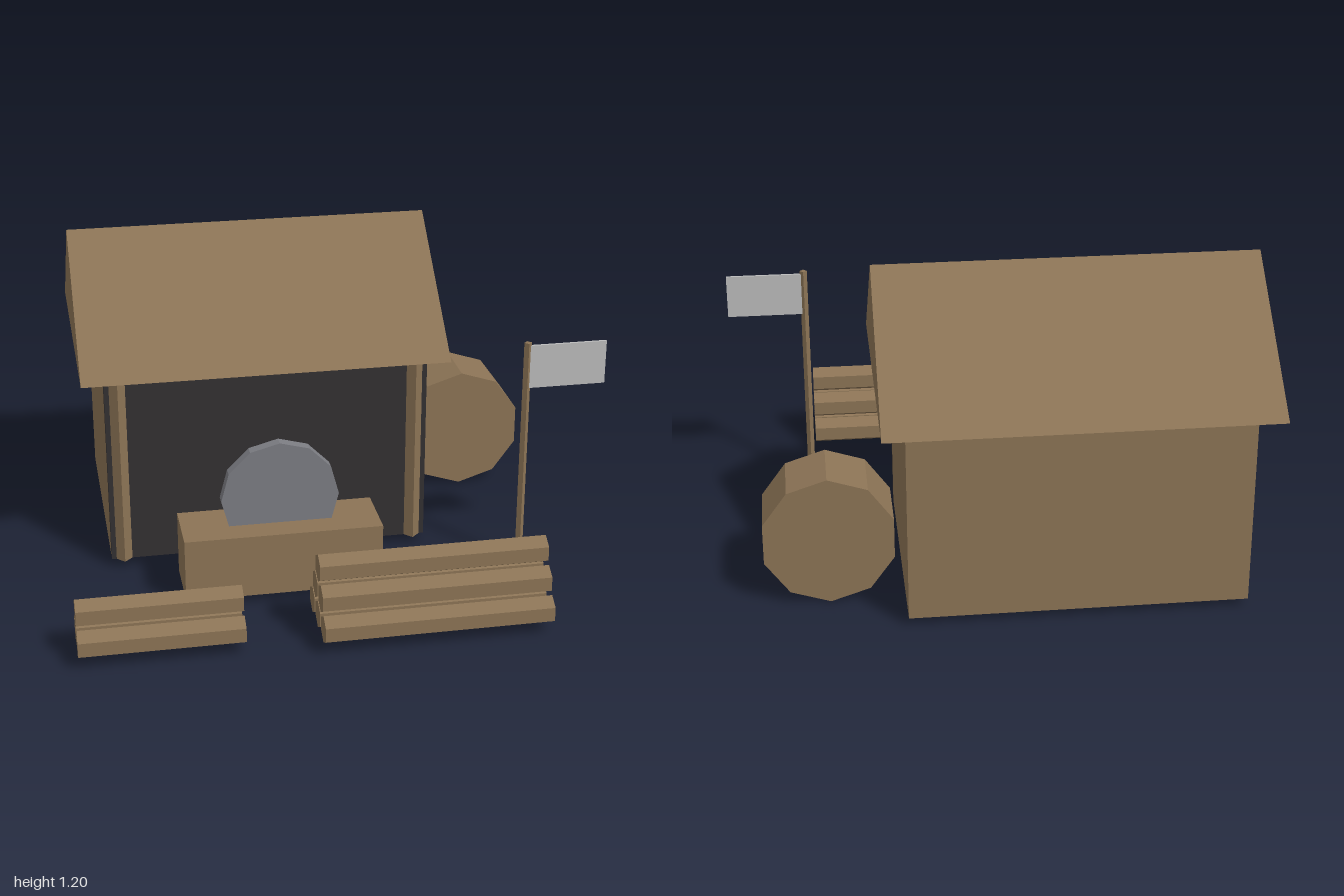
import * as THREE from 'three';

const mat = (name, color) => {
  const m = new THREE.MeshStandardMaterial({ color });
  m.name = name;
  m.flatShading = true;
  return m;
};

export function createModel() {
  const model = new THREE.Group();
  model.name = 'sawmill';
  const wood = mat('wood', 0x8b7355);
  const dark = mat('darkOpening', 0x333031);
  const steel = mat('steel', 0x7b7c82);
  const cloth = mat('cloth', 0xbababa);

  const add = (name, geometry, material, parent = model) => {
    const mesh = new THREE.Mesh(geometry, material);
    mesh.name = name;
    parent.add(mesh);
    return mesh;
  };
  // Box given by its low and high corners
  const box = (name, material, [x0, y0, z0], [x1, y1, z1]) =>
    add(name, new THREE.BoxGeometry(x1 - x0, y1 - y0, z1 - z0)
      .translate((x0 + x1) / 2, (y0 + y1) / 2, (z0 + z1) / 2), material);
  // Upright post with a diamond section
  const post = (name, x, z, r, y0, y1) =>
    add(name, new THREE.CylinderGeometry(r, r, y1 - y0, 4)
      .translate(x, (y0 + y1) / 2, z), wood);
  // Faceted disc with its axis along z
  const disc = (name, material, x, y, z0, z1, r, sides) =>
    add(name, new THREE.CylinderGeometry(r, r, z1 - z0, sides)
      .rotateX(Math.PI / 2).translate(x, y, (z0 + z1) / 2), material);

  // House body, open front and its two posts
  box('houseBody', wood, [-0.828, 0.03, -0.815], [0.388, 0.76, 0.07]);
  box('frontOpening', dark, [-0.828, 0.03, 0.07], [0.388, 0.76, 0.103]);
  for (const side of [-1, 1]) post('frontPost', -0.22 + side * 0.56, 0.099, 0.034, 0.03, 0.76);

  // Gable roof: triangle extruded along x
  const gable = new THREE.Shape([
    new THREE.Vector2(-0.52, 0.76), new THREE.Vector2(0.52, 0.76), new THREE.Vector2(0, 1.196),
  ]);
  add('roof', new THREE.ExtrudeGeometry(gable, { depth: 1.384, bevelEnabled: false })
    .translate(0, 0, -0.692).rotateY(Math.PI / 2).translate(-0.22, 0, -0.377), wood);

  // Wheel beside the house
  disc('wheel', wood, 0.655, 0.245, -0.618, -0.376, 0.245, 10);

  // Saw bench and blade
  box('sawBench', wood, [-0.587, 0.03, 0.236], [0.145, 0.27, 0.476]);
  disc('sawBlade', steel, -0.22, 0.37, 0.334, 0.377, 0.218, 12);

  // Flag on its pole
  post('flagPole', 0.702, 0.355, 0.0145, 0.03, 0.905);
  box('flag', cloth, [0.702, 0.727, 0.35], [1.0, 0.893, 0.36]);

  // Stacked hexagonal logs, widest row at the bottom
  const logPile = (name, x0, x1, rows) => {
    const pile = new THREE.Group();
    pile.name = name;
    model.add(pile);
    const geometry = new THREE.CylinderGeometry(0.053, 0.053, x1 - x0, 6)
      .rotateY(Math.PI / 2).rotateZ(Math.PI / 2);
    for (let row = 0; row < rows; row++) {
      const count = rows - row;
      for (let i = 0; i < count; i++) {
        add('log', geometry, wood, pile).position.set(
          (x0 + x1) / 2, 0.083 + row * 0.0925, 0.746 + (i - (count - 1) / 2) * 0.109);
      }
    }
  };
  logPile('largeLogPile', -0.148, 0.679, 3);
  logPile('smallLogPile', -1.0, -0.417, 2);

  return model;
}
